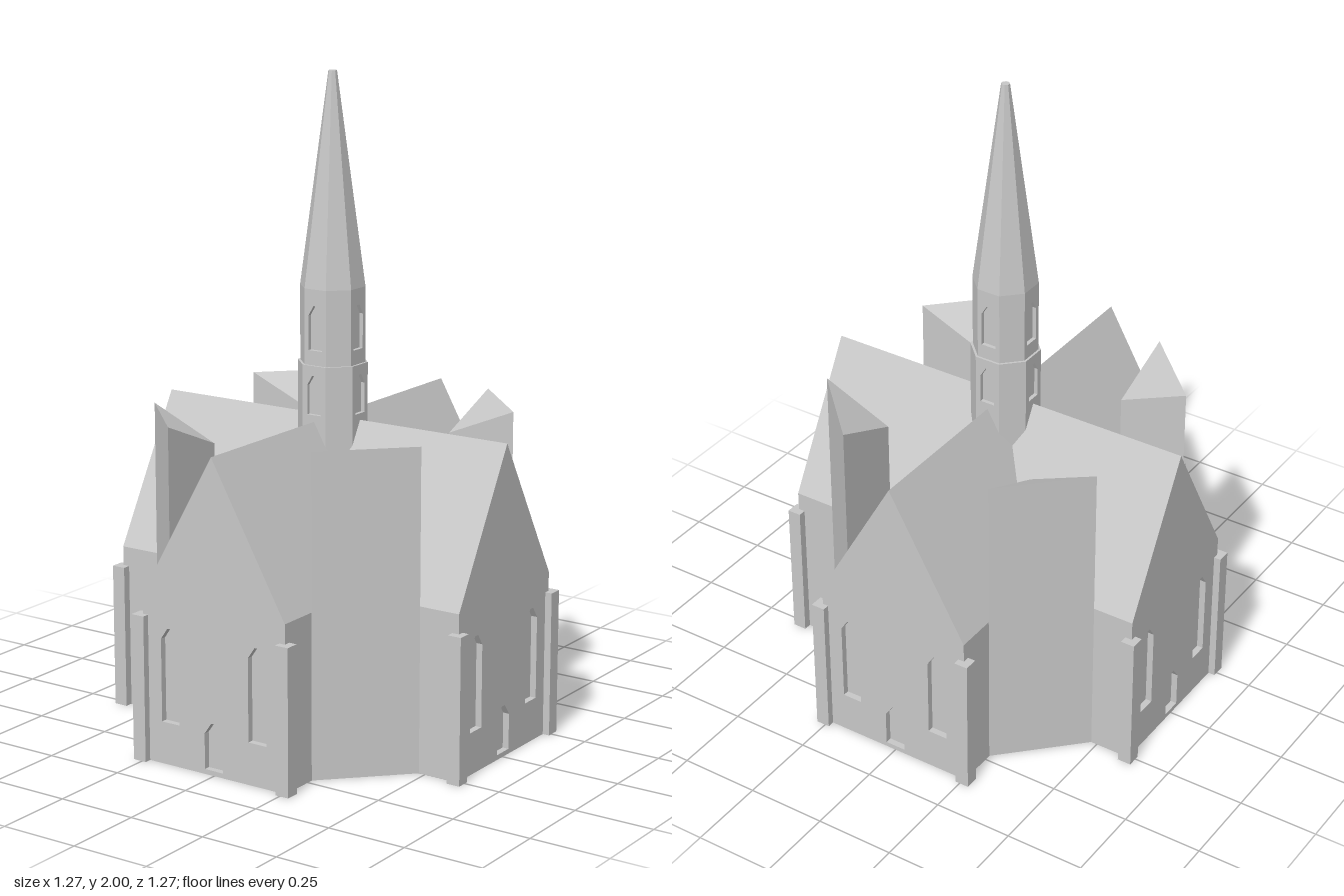
import * as THREE from 'three';

const stone = new THREE.MeshStandardMaterial({ color: 0xc8c8c8 });
stone.name = 'pale stone';

const HALF = 0.255, REACH = 0.612, EAVE = 0.51, RIDGE = 0.96, RECESS = 0.02;

function polygon(points, Type = THREE.Shape) {
  const s = new Type();
  s.setFromPoints(points.map(([x, y]) => new THREE.Vector2(x, y)));
  return s;
}

// Pointed opening centred on x, from y0 to its tip y2, shoulders at y1
function opening(x, half, y0, y1, y2) {
  return polygon([[x - half, y0], [x - half * 0.25, y2], [x + half * 0.25, y2], [x + half, y1], [x + half, y0]]
    .map((p, i) => p).reduce((out, p, i) => {
      out.push(p);
      if (i === 0) out.push([x - half, y1]);
      return out;
    }, []), THREE.Path);
}

function add(parent, name, geometry) {
  const mesh = new THREE.Mesh(geometry, stone);
  mesh.name = name;
  parent.add(mesh);
  return mesh;
}

function extrude(shape, depth) {
  return new THREE.ExtrudeGeometry(shape, { depth, bevelEnabled: false });
}

const gableOutline = [[-HALF, 0], [HALF, 0], [HALF, EAVE], [0, RIDGE], [-HALF, EAVE]];

// Gable wall with a door and two tall windows
function gableWall() {
  const s = polygon(gableOutline);
  s.holes.push(
    opening(0, 0.033, 0.015, 0.125, 0.16),
    opening(-0.157, 0.032, 0.13, 0.385, 0.42),
    opening(0.157, 0.032, 0.13, 0.385, 0.42));
  return extrude(s, RECESS).translate(0, 0, REACH - RECESS);
}

// Tall wedge filling an inner corner, its top falling towards the centre
function cornerBlock() {
  const g = extrude(polygon([[HALF, -0.48], [0.48, -HALF], [HALF, -HALF]]), 0.985);
  g.rotateX(-Math.PI / 2);
  const p = g.attributes.position;
  for (let i = 0; i < p.count; i++) {
    if (p.getY(i) > 0.5 && p.getX(i) + p.getZ(i) < 0.6) p.setY(i, 0.89);
  }
  g.computeVertexNormals();
  return g;
}

// Eight-sided cylinder with a flat face to the front, sized by its flat-to-centre distance
function octagon(top, bottom, y0, y1) {
  const k = 1 / Math.cos(Math.PI / 8);
  const g = new THREE.CylinderGeometry(top * k, bottom * k, y1 - y0, 8).rotateY(Math.PI / 8).toNonIndexed();
  g.computeVertexNormals();
  return g.translate(0, (y0 + y1) / 2, 0);
}

// Octagonal tower stage with recessed windows on the four main faces
function towerStage(name, apothem, y0, y1, win) {
  const stage = new THREE.Group();
  stage.name = name;
  const depth = 0.012, half = apothem * Math.tan(Math.PI / 8);
  add(stage, name + 'Core', octagon(apothem - depth, apothem - depth, y0, y1 - 0.002));
  for (let i = 0; i < 8; i++) {
    const s = polygon([[-half, y0], [half, y0], [half, y1], [-half, y1]]);
    if (i % 2 === 0) s.holes.push(opening(0, 0.024, ...win));
    const g = extrude(s, depth).translate(0, 0, apothem - depth);
    add(stage, name + 'Face', g).rotation.y = i * Math.PI / 4;
  }
  return stage;
}

export function createModel() {
  const model = new THREE.Group();
  model.name = 'church';

  // Two crossing halls
  for (const [name, angle] of [['nave', 0], ['transept', Math.PI / 2]]) {
    const len = 2 * (REACH - RECESS);
    add(model, name, extrude(polygon(gableOutline), len).translate(0, 0, -len / 2)).rotation.y = angle;
  }

  // Gable, two corner posts and one corner block per quarter
  for (let i = 0; i < 4; i++) {
    const arm = new THREE.Group();
    arm.name = 'arm';
    arm.rotation.y = i * Math.PI / 2;
    add(arm, 'gableWall', gableWall());
    for (const side of [-1, 1]) {
      add(arm, 'cornerPost', new THREE.BoxGeometry(0.044, 0.45, 0.044))
        .position.set(side * 0.258, 0.225, 0.612);
    }
    add(arm, 'cornerBlock', cornerBlock());
    model.add(arm);
  }

  // Tower and spire
  model.add(towerStage('lowerTower', 0.099, 0.7, 1.13, [0.98, 1.07, 1.1]));
  model.add(towerStage('upperTower', 0.092, 1.12, 1.36, [1.175, 1.28, 1.31]));
  add(model, 'towerLedge', octagon(0.099, 0.099, 1.125, 1.13));
  add(model, 'spire', octagon(0.012, 0.092, 1.36, 2));

  return model;
}
